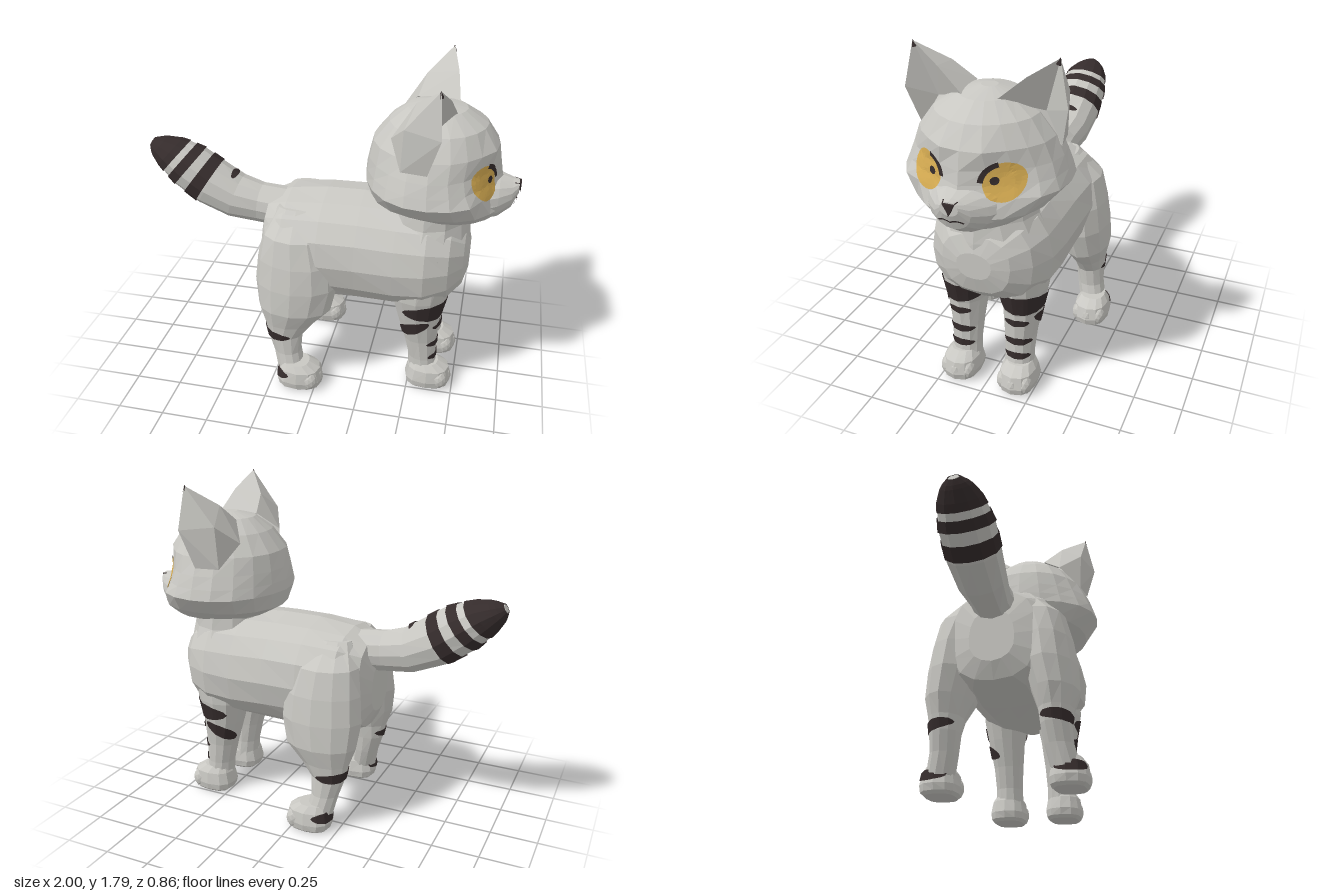
import * as THREE from 'three';

const mat = (name, color) => new THREE.MeshStandardMaterial({ name, color, flatShading: true, side: THREE.DoubleSide });

export function createModel() {
  const fur = mat('grey fur', 0xc8c7c2);
  const dark = mat('dark markings', 0x352c2c);
  const amber = mat('amber eyes', 0xd6ac52);
  const model = new THREE.Group();
  model.name = 'cat';

  const add = (parent, name, geometry, material) => {
    const m = new THREE.Mesh(geometry, material);
    m.name = name;
    parent.add(m);
    return m;
  };
  const build = (points, index) => {
    const g = new THREE.BufferGeometry();
    g.setAttribute('position', new THREE.Float32BufferAttribute(points.flatMap(p => [p.x, p.y, p.z]), 3));
    g.setIndex(index);
    g.computeVertexNormals();
    return g;
  };
  const quads = (rows, cols, wrap, flip) => {
    const out = [], n = wrap ? cols : cols + 1;
    for (let i = 0; i < rows; i++) for (let j = 0; j < cols; j++) {
      const a = i * n + j, b = i * n + (j + 1) % n, c = b + n, d = a + n;
      out.push(...(flip ? [a, c, b, a, d, c] : [a, b, c, a, c, d]));
    }
    return out;
  };

  // Rings are [x, y, z, half height, half width, heading in degrees]; side mirrors z, dent moves points
  const makeLoft = (rings, { n = 12, heading = 0, side = 1, p = 1, rough = 0.02, dent = v => v } = {}) => {
    const pw = v => Math.sign(v) * Math.abs(v) ** p;
    const centers = rings.map(r => new THREE.Vector3(r[0], r[1], r[2] * side));
    const pts = rings.map((r, i) => Array.from({ length: n }, (_, j) => {
      const t = (r[5] ?? heading) * Math.PI / 180, a = j / n * Math.PI * 2;
      const k = 1 + rough * Math.sin(i * 7.3 + Math.min(j, n - j) * 4.7 + rings.length);
      const u = pw(Math.cos(a)) * r[3] * k, w = pw(Math.sin(a)) * r[4] * k;
      return dent(new THREE.Vector3(r[0] - Math.sin(t) * u, r[1] + Math.cos(t) * u, side * (r[2] + w)));
    }));
    const at = (s, turn) => {
      const i = Math.min(Math.floor(s), rings.length - 2), f = s - i;
      const q = (((turn % 1) + 1) % 1) * n, j = Math.floor(q) % n, g = q - Math.floor(q);
      const e = k => pts[k][j].clone().lerp(pts[k][(j + 1) % n], g);
      const c = centers[i].clone().lerp(centers[i + 1], f);
      const v = e(i).lerp(e(i + 1), f);
      return v.addScaledVector(v.clone().sub(c).normalize(), 0.006);
    };
    return { pts, centers, at, n, side };
  };
  const loft = (parent, name, rings, opt) => {
    const L = makeLoft(rings, opt), last = rings.length - 1, n = L.n;
    const idx = quads(last, n, true, L.side < 0);
    const points = [...L.pts.flat(), L.centers[0], L.centers[last]];
    const s = n * rings.length;
    for (let j = 0; j < n; j++) {
      const k = (j + 1) % n, a = [s, k, j], b = [s + 1, last * n + j, last * n + k];
      idx.push(...(L.side < 0 ? a.reverse() : a), ...(L.side < 0 ? b.reverse() : b));
    }
    L.mesh = add(parent, name, build(points, idx), fur);
    return L;
  };
  // Thin marking lying on a loft: ring range s0..s1, turn range a0..a1, tapered and slanted unless it wraps
  const stripe = (parent, name, L, s0, s1, a0, a1, slant = 0) => {
    const rows = 6, cols = 24, points = [], wraps = a1 - a0 >= 1;
    for (let i = 0; i <= rows; i++) for (let j = 0; j <= cols; j++) {
      const w = wraps ? 1 : Math.sqrt(Math.max(0, Math.sin(Math.PI * j / cols)));
      const s = (s0 + s1) / 2 + (i / rows - 0.5) * (s1 - s0) * w + slant * (j / cols - 0.5);
      points.push(L.at(s, a0 + (a1 - a0) * j / cols));
    }
    add(parent, name, build(points, quads(rows, cols, false, L.side < 0)), dark);
  };

  // Torso and neck
  loft(model, 'body', [
    [-0.35, 0.74, 0, 0.14, 0.12], [-0.31, 0.76, 0, 0.25, 0.23], [-0.2, 0.78, 0, 0.28, 0.32],
    [0, 0.78, 0, 0.3, 0.335], [0.2, 0.78, 0, 0.3, 0.33], [0.4, 0.775, 0, 0.295, 0.33],
    [0.56, 0.78, 0, 0.28, 0.325], [0.68, 0.78, 0, 0.23, 0.27], [0.75, 0.78, 0, 0.16, 0.18],
    [0.775, 0.78, 0, 0.07, 0.09]], { n: 16, p: 0.88 });
  loft(model, 'neck', [
    [0.53, 0.75, 0, 0.24, 0.32], [0.53, 0.9, 0, 0.235, 0.29], [0.54, 1.0, 0, 0.215, 0.235],
    [0.54, 1.12, 0, 0.205, 0.22]], { heading: 90 });

  // Tail with dark rings and tip
  const tail = loft(model, 'tail', [
    [-0.2, 0.93, 0, 0.11, 0.12, 180], [-0.38, 0.945, 0, 0.108, 0.11, 175], [-0.52, 0.972, 0, 0.12, 0.13, 162],
    [-0.66, 1.04, 0, 0.133, 0.14, 148], [-0.78, 1.125, 0, 0.13, 0.14, 140], [-0.88, 1.195, 0, 0.1, 0.115, 138],
    [-0.955, 1.235, 0, 0.055, 0.07, 140], [-0.99, 1.25, 0, 0.02, 0.025, 150]]);
  stripe(model, 'tailTip', tail, 4.75, 7, 0, 1);
  stripe(model, 'tailRing', tail, 4.0, 4.45, 0, 1);
  stripe(model, 'tailRing', tail, 3.1, 3.6, 0, 1);
  stripe(model, 'tailSpot', tail, 2.2, 2.5, 0.43, 0.57);

  // Head with shallow eye sockets, and muzzle
  const socket = v => {
    const d = Math.hypot(v.y - 1.28, Math.abs(v.z) - 0.2) / 0.17;
    if (v.x > 0.6 && d < 1) v.x -= 0.05 * (1 - d * d);
    return v;
  };
  const head = loft(model, 'head', [
    [0.64, 1.02, 0, 0.12, 0.08], [0.62, 1.05, 0, 0.27, 0.22], [0.58, 1.12, 0, 0.35, 0.33],
    [0.56, 1.21, 0, 0.355, 0.41], [0.556, 1.265, 0, 0.345, 0.39], [0.555, 1.33, 0, 0.333, 0.365],
    [0.555, 1.42, 0, 0.315, 0.325], [0.56, 1.52, 0, 0.245, 0.25], [0.55, 1.59, 0, 0.15, 0.14],
    [0.54, 1.615, 0, 0.04, 0.04]], { n: 20, heading: 90, rough: 0.01, dent: socket });
  const muzzle = loft(model, 'muzzle', [
    [0.74, 1.15, 0, 0.12, 0.27], [0.89, 1.145, 0, 0.108, 0.15],
    [0.955, 1.16, 0, 0.076, 0.088], [0.987, 1.197, 0, 0.034, 0.045]], { n: 16, rough: 0 });

  // Face details: flat shapes pressed onto the face from the front
  const ray = new THREE.Raycaster();
  const faceDetail = (name, g, z, y, material, lift) => {
    const pos = g.attributes.position;
    for (let i = 0; i < pos.count; i++) {
      const pz = z - pos.getX(i), py = y + pos.getY(i);
      ray.set(new THREE.Vector3(2, py, pz), new THREE.Vector3(-1, 0, 0));
      const hit = ray.intersectObjects([head.mesh, muzzle.mesh])[0];
      pos.setXYZ(i, hit.point.x + lift, py, pz);
    }
    g.computeVertexNormals();
    add(model, name, g, material);
  };
  const arc = (r0, r1, from, to, seg = 12) =>
    new THREE.RingGeometry(r0, r1, seg, 4, from * Math.PI / 180, (to - from) * Math.PI / 180);
  for (const s of [1, -1]) {
    faceDetail('eye', arc(0, 0.087, 0, 360, 24), s * 0.186, 1.283, amber, 0.007);
    faceDetail('pupil', arc(0, 0.019, 0, 360), s * 0.15, 1.29, dark, 0.012);
    faceDetail('brow', s > 0 ? arc(0.078, 0.102, 5, 78) : arc(0.078, 0.102, 102, 175), s * 0.183, 1.275, dark, 0.012);
    faceDetail('mouth', arc(0.045, 0.053, 50, 130), s * 0.03, 1.09, dark, 0.006);
  }
  faceDetail('nose', arc(0, 0.043, -90, 270, 3), 0, 1.207, dark, 0.009);

  for (const side of [1, -1]) {
    const tag = side > 0 ? 'left' : 'right';

    // Ear: a rounded back shell and a sunken inner point
    const ear = [[0.59, 1.79, 0.355], [0.63, 1.7, 0.215], [0.655, 1.59, 0.085], [0.44, 1.59, 0.11],
      [0.355, 1.49, 0.22], [0.42, 1.37, 0.335], [0.55, 1.37, 0.355], [0.61, 1.57, 0.4], [0.53, 1.52, 0.27],
      [0.47, 1.68, 0.22], [0.43, 1.59, 0.345]]
      .map(([x, y, z]) => new THREE.Vector3(x, y, z * side));
    const faces = [0, 1, 9, 1, 2, 3, 1, 3, 9, 9, 3, 4, 9, 4, 10, 0, 9, 10, 10, 4, 5, 10, 5, 7, 0, 10, 7, 7, 5, 6,
      0, 8, 1, 1, 8, 2, 0, 7, 8, 7, 6, 8, 2, 8, 6];
    add(model, tag + 'Ear', build(ear, side > 0 ? faces : faces.reverse()), fur);
    const tip = add(model, tag + 'EarTip', new THREE.ConeGeometry(0.014, 0.035, 6), dark);
    tip.position.set(0.588, 1.778, side * 0.351);
    tip.rotation.x = side * 0.25;

    // Legs
    const opt = { heading: -90, side };
    const fore = loft(model, tag + 'FrontLeg', [
      [0.54, 0.86, 0.19, 0.17, 0.1], [0.53, 0.58, 0.155, 0.152, 0.13], [0.535, 0.45, 0.155, 0.118, 0.105],
      [0.555, 0.3, 0.15, 0.09, 0.085], [0.57, 0.18, 0.15, 0.076, 0.077], [0.58, 0.09, 0.15, 0.08, 0.08]], opt);
    const hind = loft(model, tag + 'HindLeg', [
      [-0.13, 1.02, 0.14, 0.11, 0.06], [-0.13, 0.9, 0.2, 0.175, 0.142], [-0.12, 0.76, 0.238, 0.21, 0.138],
      [-0.12, 0.62, 0.255, 0.225, 0.14], [-0.13, 0.48, 0.28, 0.2, 0.12], [-0.16, 0.38, 0.285, 0.135, 0.09],
      [-0.18, 0.3, 0.285, 0.095, 0.08], [-0.165, 0.2, 0.295, 0.075, 0.075], [-0.14, 0.09, 0.32, 0.075, 0.075]], opt);

    // Paws with toes
    const paw = (name, x, z) => {
      for (const d of [-0.058, 0, 0.058]) {
        const toe = add(model, name + 'Toe', new THREE.IcosahedronGeometry(0.045, 1), fur);
        toe.position.set(x + 0.085 - Math.abs(d) * 0.3, 0.06, side * (z + d));
        toe.scale.set(1, 1.25, 0.85);
      }
      return loft(model, name, [
        [x - 0.02, 0.15, z, 0.075, 0.065], [x, 0.115, z, 0.115, 0.09],
        [x, 0.05, z, 0.13, 0.1], [x, 0.015, z, 0.12, 0.095], [x, 0, z, 0.1, 0.08]], { ...opt, p: 0.8 });
    };
    paw(tag + 'FrontPaw', 0.61, 0.16);
    const hindPaw = paw(tag + 'HindPaw', -0.09, 0.33);

    // Leg markings
    stripe(model, 'frontLegBand', fore, 1.02, 1.9, -0.25, 0.34, 0.1);
    stripe(model, 'frontLegStripe', fore, 2.1, 2.6, 0.15, 0.46, 0.55);
    stripe(model, 'frontLegStripe', fore, 2.15, 2.42, -0.1, 0.12);
    stripe(model, 'frontLegStripe', fore, 2.92, 3.25, -0.14, 0.18);
    stripe(model, 'frontLegStripe', fore, 3.65, 4.0, -0.14, 0.17);
    stripe(model, 'hindLegStripe', hind, 5.35, 6.05, 0.18, 0.64, -0.35);
    stripe(model, 'heelMark', hindPaw, 0.85, 1.8, 0.3, 0.6);
  }
  return model;
}
